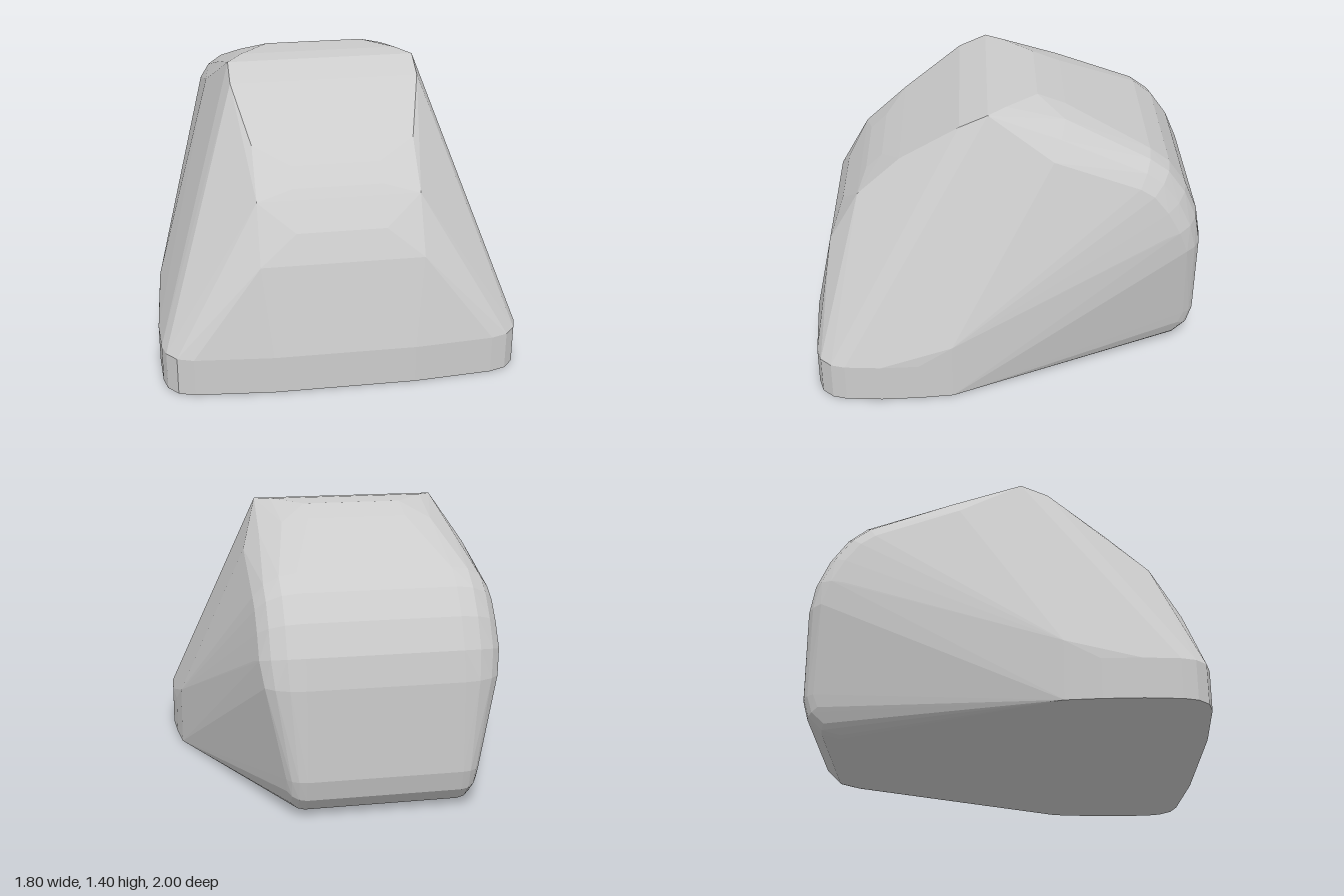
import * as THREE from 'three';
import { ConvexGeometry } from 'three/addons/geometries/ConvexGeometry.js';

export function createModel() {
  const group = new THREE.Group();
  const points = [];
  const add = (x, y, z) => {
    points.push(new THREE.Vector3(x, y, z), new THREE.Vector3(-x, y, z));
  };

  // Flared base: outline [x, z] with a low vertical rim
  const rim = [[0.35, 1], [0.74, 0.97], [0.82, 0.945], [0.87, 0.89], [0.89, 0.82], [0.9, 0.64], [0.893, 0.45]];
  for (const [x, z] of rim) {
    add(x, 0, z);
    add(x, 0.2, z);
  }
  add(0.877, 0, 0.28);
  add(0.877, 0.3, 0.28);

  // Sloping nose and crown: [x, y, z]
  const ridge = [
    [0.4, 0.65, 0.905], [0.22, 0.79, 0.845], [0.4, 0.92, 0.75], [0.22, 0.965, 0.715],
    [0.22, 1.045, 0.63], [0.4, 1.12, 0.53], [0.475, 1.33, 0.23],
    [0.475, 1.392, 0.09], [0.4, 1.4, 0], [0.25, 1.393, -0.16],
  ];
  for (const p of ridge) add(...p);

  // Rounded back, narrower towards the ground:
  // [z, y, normal angle in degrees (180 = rear), flat half width, full half width, edge depth]
  const back = [
    [-0.8, 0, 270, 0.38, 0.46, 0.12],
    [-0.9, 0.027, 240, 0.38, 0.47, 0.12],
    [-0.973, 0.1, 210, 0.38, 0.475, 0.11],
    [-1, 0.2, 180, 0.38, 0.48, 0.1],
    [-1, 0.65, 180, 0.38, 0.58, 0.14],
    [-0.975, 0.8, 165, 0.38, 0.6, 0.18],
    [-0.91, 0.95, 150, 0.38, 0.6, 0.2],
    [-0.82, 1.075, 135, 0.38, 0.6, 0.21],
    [-0.72, 1.15, 118, 0.38, 0.6, 0.22],
    [-0.3, 1.34, 114, 0.25, 0.6, 0.28],
  ];
  for (const [z, y, degrees, flat, full, depth] of back) {
    const a = THREE.MathUtils.degToRad(degrees);
    for (let i = 0; i <= 4; i++) {
      const t = (i / 4) * Math.PI / 2;
      const inset = depth * (1 - Math.cos(t));
      add(flat + (full - flat) * Math.sin(t), y - inset * Math.sin(a), z - inset * Math.cos(a));
    }
  }

  const body = new THREE.Mesh(
    new ConvexGeometry(points),
    new THREE.MeshStandardMaterial({ color: 0xcccccc, flatShading: true })
  );
  body.name = 'body';
  group.add(body);
  return group;
}
